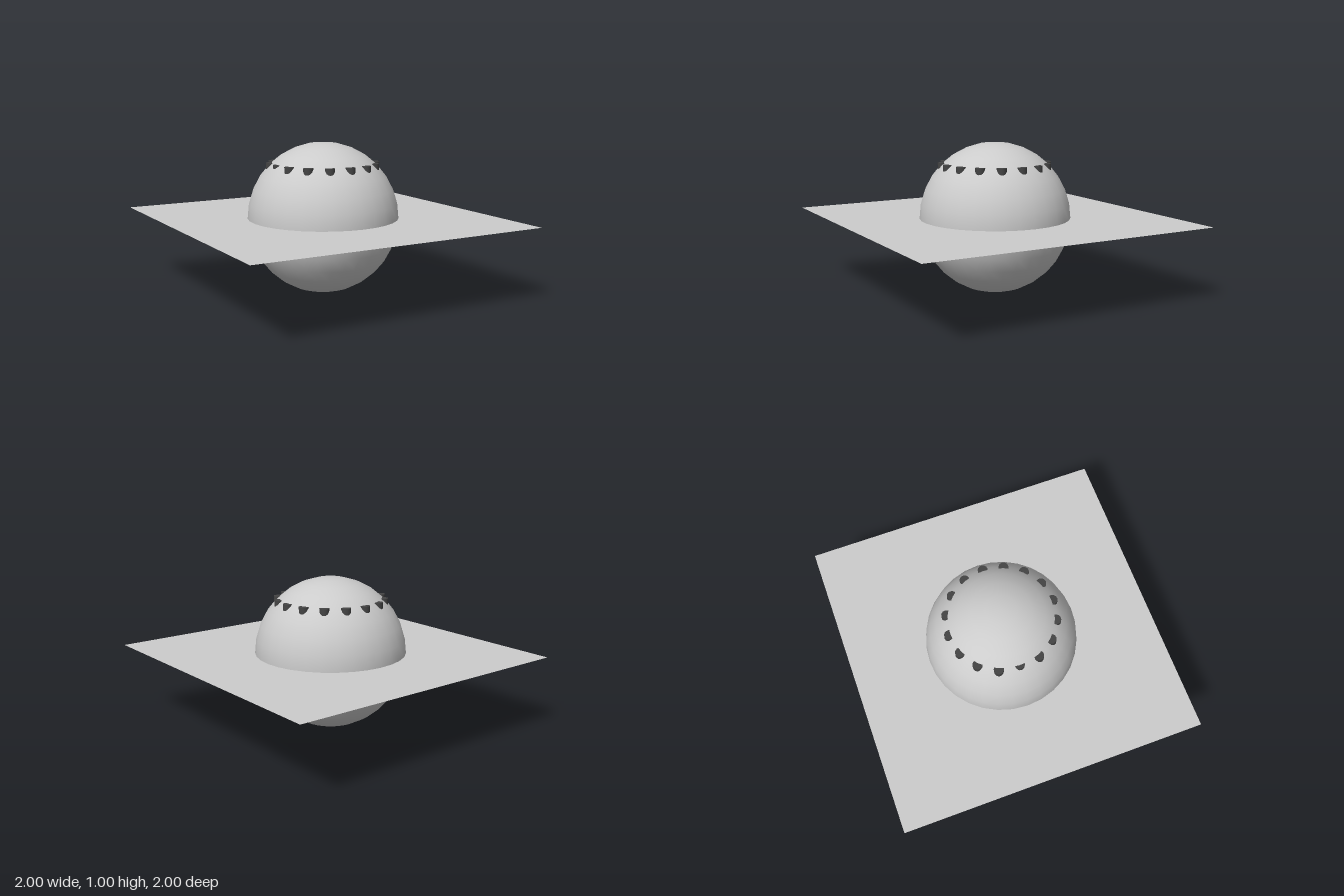
import * as THREE from 'three';

export function createModel() {
  const group = new THREE.Group();
  const grey = new THREE.MeshStandardMaterial({ color: 0xcccccc });
  const sheet = new THREE.MeshStandardMaterial({ color: 0xcccccc, side: THREE.DoubleSide });
  const dark = new THREE.MeshStandardMaterial({ color: 0x444444 });

  const add = (name, geometry, material, x, y, z) => {
    const mesh = new THREE.Mesh(geometry, material);
    mesh.name = name;
    mesh.position.set(x, y, z);
    group.add(mesh);
    return mesh;
  };

  // Ball, half sunk through the flat sheet
  add('ball', new THREE.SphereGeometry(0.5, 32, 16), grey, 0, 0.5, 0);

  // Thin square sheet at the ball's equator
  add('groundSheet', new THREE.PlaneGeometry(2, 2), sheet, 0, 0.5, 0).rotation.x = -Math.PI / 2;

  // Ring of small upright pegs set into the upper part of the ball
  const pegGeometry = new THREE.CylinderGeometry(0.032, 0.032, 0.06, 16);
  const count = 16;
  for (let i = 0; i < count; i++) {
    const a = (i / count) * Math.PI * 2;
    const r = i === count / 2 ? 0.33 : 0.344; // the right-hand peg sits a little deeper
    add('peg', pegGeometry, dark, r * Math.cos(a), 0.838, r * Math.sin(a));
  }

  return group;
}
